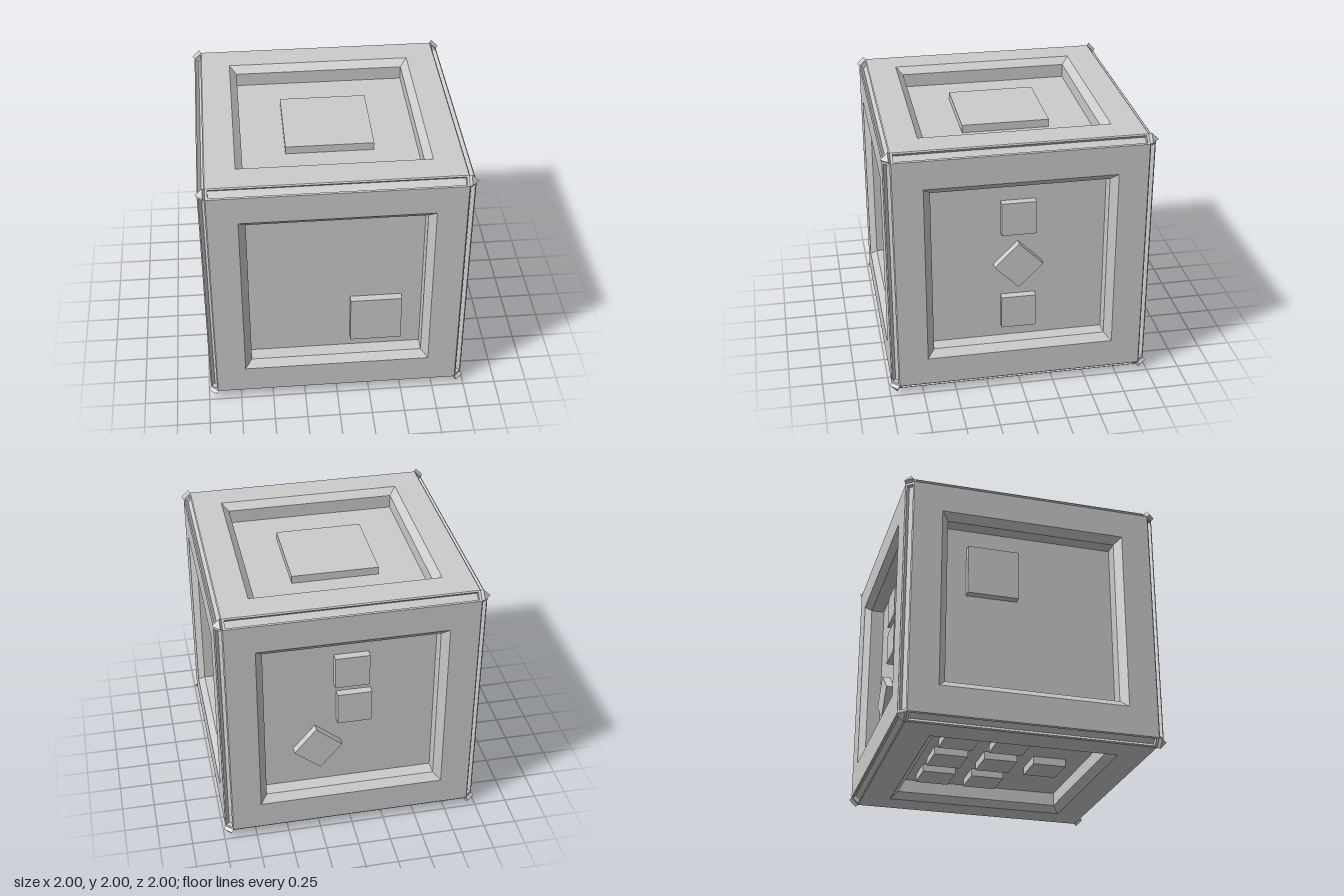
import * as THREE from 'three';
import { ConvexGeometry } from 'three/addons/geometries/ConvexGeometry.js';

const H = 0.985;      // cube half size
const FLAT = 0.928;   // half size of a face inside the chamfers
const FLOOR = 0.83;   // distance of the sunken panel from the centre
const PAD = 0.06;     // pad height

// Surface through rectangles [halfWidth, halfHeight, z], outer to inner, closed by the last one
function steppedRects(rings) {
  const pos = [];
  const corner = ([w, h, z], i) => [[-w, -h, z], [w, -h, z], [w, h, z], [-w, h, z]][i % 4];
  const quad = (a, b, c, d) => pos.push(...a, ...b, ...c, ...a, ...c, ...d);
  for (let r = 0; r < rings.length - 1; r++) {
    for (let i = 0; i < 4; i++) {
      quad(corner(rings[r], i), corner(rings[r], i + 1), corner(rings[r + 1], i + 1), corner(rings[r + 1], i));
    }
  }
  const last = rings[rings.length - 1];
  quad(corner(last, 0), corner(last, 1), corner(last, 2), corner(last, 3));
  const geo = new THREE.BufferGeometry();
  geo.setAttribute('position', new THREE.Float32BufferAttribute(pos, 3));
  geo.computeVertexNormals();
  return geo;
}

export function createModel() {
  const model = new THREE.Group();
  model.name = 'pipCube';
  const cube = new THREE.Group();
  cube.name = 'cube';
  cube.position.y = 1;
  model.add(cube);

  const grey = new THREE.MeshStandardMaterial({ color: 0xcccccc });
  grey.name = 'light grey';

  const add = (parent, name, geo) => {
    const mesh = new THREE.Mesh(geo, grey);
    mesh.name = name;
    parent.add(mesh);
    return mesh;
  };

  // Faces: bevelled frame, sunken panel and raised pads [u, v, size, turn]
  const panelGeo = steppedRects([
    [FLAT, FLAT, H], [0.708, 0.708, H], [0.655, 0.655, 0.935], [0.655, 0.655, FLOOR],
  ]);
  const S = 0.26, P = 0.39, Q = Math.PI / 2;
  const faces = [
    { name: 'frontFace', rot: [0, 0, 0], pads: [[0.305, -0.36, 0.39, 0]] },
    { name: 'leftFace', rot: [0, Q, 0],
      pads: [[0, 0.365, S, 0], [0, -0.027, S, Q / 2], [0, -0.423, S, 0]] },
    { name: 'backFace', rot: [0, 2 * Q, 0],
      pads: [[0.015, 0.37, S, 0], [0.035, 0.04, S, 0], [-0.243, -0.31, S, 0.87]] },
    { name: 'rightFace', rot: [0, -Q, 0], pads: [[-0.29, 0.3, 0.39, 0]] },
    { name: 'topFace', rot: [-Q, 0, 0], pads: [[0, 0, 0.66, 0]] },
    { name: 'bottomFace', rot: [Q, 0, 0],
      pads: [[-1, -1], [0, -1], [1, -1], [-1, 0], [0, 0], [1, 0], [0, 1]]
        .map(([i, j]) => [i * P, j * P - 0.02, S, 0]) },
  ];
  for (const { name, rot, pads } of faces) {
    const face = new THREE.Group();
    face.name = name;
    face.rotation.set(...rot);
    cube.add(face);
    add(face, 'panel', panelGeo);
    for (const [u, v, size, turn] of pads) {
      const pad = add(face, 'pad', new THREE.BoxGeometry(size, size, PAD));
      pad.position.set(u, v, FLOOR + PAD / 2);
      pad.rotation.z = turn;
    }
  }

  // Edges: chamfer strips with a long groove, four around each axis
  const half = (H - FLAT) * Math.SQRT1_2;
  const out = (H + FLAT) * Math.SQRT1_2;
  const edgeGeo = steppedRects([
    [half, FLAT, out], [half - 0.012, FLAT - 0.018, out], [half - 0.012, FLAT - 0.018, out - 0.034],
  ]);
  for (const rot of [[0, 0, 0], [Q, 0, 0], [0, 0, Q]]) {
    const ring = new THREE.Group();
    ring.name = 'edgeSet';
    ring.rotation.set(...rot);
    cube.add(ring);
    for (let k = 0; k < 4; k++) add(ring, 'groovedEdge', edgeGeo).rotation.y = Q / 2 + k * Q;
  }

  // Corners: small faceted studs with one tip over each adjoining face
  const T = 0.945;
  const studPoints = [
    [1, T, T], [T, 1, T], [T, T, 1],
    [H, FLAT, FLAT], [FLAT, H, FLAT], [FLAT, FLAT, H],
  ];
  for (const sx of [-1, 1]) for (const sy of [-1, 1]) for (const sz of [-1, 1]) {
    add(cube, 'cornerStud', new ConvexGeometry(
      studPoints.map(([x, y, z]) => new THREE.Vector3(x * sx, y * sy, z * sz))));
  }
  return model;
}
